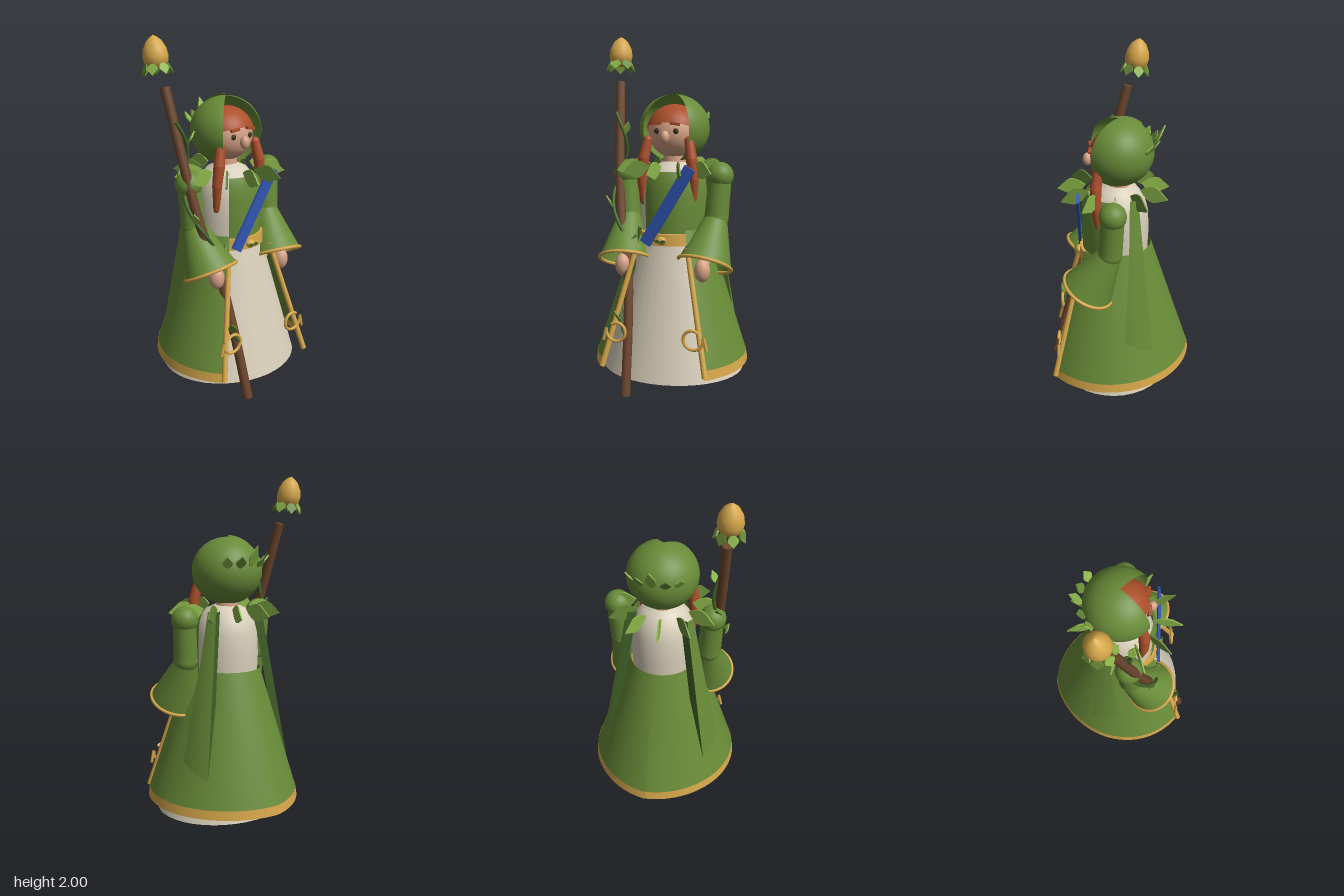
import * as THREE from 'three';
import { ParametricGeometry } from 'three/addons/geometries/ParametricGeometry.js';

const V = (x, y, z) => new THREE.Vector3(x, y, z);
const rad = THREE.MathUtils.degToRad;

export function createModel() {
  const root = new THREE.Group();
  root.name = 'cloakedWanderer';
  const material = (name, color) => {
    const m = new THREE.MeshStandardMaterial({ color, side: THREE.DoubleSide });
    m.name = name;
    return m;
  };
  const green = material('clothGreen', 0x688b38);
  const darkGreen = material('vineGreen', 0x3f5f26);
  const lightGreen = material('leafGreen', 0x8cb54a);
  const gold = material('gold', 0xd6a74a);
  const cream = material('cream', 0xd8cfba);
  const brown = material('wood', 0x6b452b);
  const skin = material('skin', 0xd6a285);
  const hair = material('copperHair', 0xab4f2a);
  const blue = material('sashBlue', 0x3056b4);
  const dark = material('eyeDark', 0x3a3022);

  const add = (name, geo, mat, x = 0, y = 0, z = 0, parent = root) => {
    const m = new THREE.Mesh(geo, mat);
    m.name = name;
    m.position.set(x, y, z);
    parent.add(m);
    return m;
  };
  const ball = (name, mat, r, x, y, z, sx = 1, sy = 1, sz = 1) => {
    const m = add(name, new THREE.SphereGeometry(r, 28, 20), mat, x, y, z);
    m.scale.set(sx, sy, sz);
    return m;
  };
  // cone between two points, r0 at a and r1 at b
  const between = (name, mat, a, b, r0, r1, open = false) => {
    const d = b.clone().sub(a);
    const m = add(name, new THREE.CylinderGeometry(r1, r0, d.length(), 28, 1, open), mat);
    m.position.copy(a).lerp(b, 0.5);
    m.quaternion.setFromUnitVectors(V(0, 1, 0), d.normalize());
    return m;
  };
  const tube = (name, mat, pts, r, segs = 32) =>
    add(name, new THREE.TubeGeometry(new THREE.CatmullRomCurve3(pts), segs, r, 10), mat);
  const lathe = (name, mat, pts, start = 0, len = Math.PI * 2) =>
    add(name, new THREE.LatheGeometry(pts.map(p => new THREE.Vector2(...p)), 40, start, len), mat);
  // surface given by angle, height and a radius rule
  const sheet = (name, mat, f, nu = 40, nv = 8) =>
    add(name, new ParametricGeometry((u, v, t) => {
      const [a, y, r] = f(u, v);
      t.set(Math.sin(a) * r, y, Math.cos(a) * r);
    }, nu, nv), mat);
  // pointed leaf growing from a point along dir, facing normal
  const leaf = (name, mat, pos, dir, normal, L, W, parent = root) => {
    const s = new THREE.Shape();
    s.moveTo(0, 0);
    s.quadraticCurveTo(W * 1.1, L * 0.35, W * 0.75, L * 0.6);
    s.lineTo(0, L);
    s.lineTo(-W * 0.75, L * 0.6);
    s.quadraticCurveTo(-W * 1.1, L * 0.35, 0, 0);
    const m = add(name, new THREE.ExtrudeGeometry(s, { depth: 0.008, bevelEnabled: false, curveSegments: 5 }), mat, 0, 0, 0, parent);
    const y = dir.clone().normalize();
    const x = y.clone().cross(normal).normalize();
    m.quaternion.setFromRotationMatrix(new THREE.Matrix4().makeBasis(x, y, x.clone().cross(y)));
    m.position.copy(pos);
    return m;
  };

  // underskirt, torso and vest
  const skirt = lathe('underskirt', cream, [[0.415, 0.095], [0.18, 0.9]]);
  skirt.scale.z = 0.875;
  skirt.position.z = 0.03;
  lathe('torso', cream, [[0.18, 0.85], [0.186, 1.0], [0.18, 1.12], [0.16, 1.2], [0.115, 1.26], [0.05, 1.29]]).position.z = 0.01;
  lathe('vest', green, [[0.195, 0.87], [0.2, 1.0], [0.199, 1.12], [0.19, 1.2], [0.172, 1.24]], rad(-34), rad(122)).position.z = 0.01;
  add('belt', new THREE.CylinderGeometry(0.195, 0.2, 0.065, 40), gold, 0, 0.865, 0.03);
  ball('beltBuckle', gold, 0.03, 0, 0.862, 0.23, 1, 0.8, 0.7);
  for (const s of [-1, 1]) leaf('buckleLeaf', darkGreen, V(0, 0.86, 0.25), V(s, 0.15, 0), V(0, 0, 1), 0.036, 0.01);
  const sash = add('sash', new THREE.BoxGeometry(0.065, 0.5, 0.016), blue, 0.032, 1.055, 0.224);
  sash.rotation.z = -0.548;

  // overskirt, open at the front, with an upright hem band
  const T = y => (0.92 - y) / 0.73;
  const edge = y => rad(33 + 5 * T(y));
  const robeR = (a, y) => 0.19 + 0.241 * T(y) + 0.05 * Math.max(0, Math.cos(a))
    - 0.022 * T(y) * Math.max(0, -Math.sin(2 * (a > Math.PI ? Math.PI * 2 - a : a)));
  const around = (u, y) => edge(y) + u * (Math.PI * 2 - 2 * edge(y));
  sheet('overskirt', green, (u, v) => {
    const y = 0.19 + v * 0.73, a = around(u, y);
    return [a, y, robeR(a, y)];
  }, 72, 8);
  sheet('hemTrim', gold, (u, v) => {
    const a = around(u, 0.19);
    return [a, 0.145 + v * 0.052, robeR(a, 0.19) + 0.008 - 0.008 * v];
  }, 72, 1);

  for (const s of [-1, 1]) {
    // gold front edge with curl
    const at = y => {
      const a = edge(y), r = robeR(a, y) + 0.004;
      return V(s * Math.sin(a) * r, y, Math.cos(a) * r);
    };
    between('frontTrim', gold, at(0.16), at(0.83), 0.016, 0.014);
    const curl = [];
    for (let i = 0; i <= 12; i++) {
      const a = -0.3 + i * 0.47, r = 0.062 - 0.0012 * i;
      curl.push(V(s * (0.222 + r * Math.cos(a)), 0.36 - r * Math.sin(a), 0.355));
    }
    tube('trimCurl', gold, [V(s * 0.3, 0.305, 0.355), ...curl], 0.009, 48);

    // side cape panel sinking into the overskirt, rear edge turned inward
    const rear = rad(122);
    const capeR = y => 0.2 + 0.18 * (1.26 - y);
    sheet('capePanel', green, (u, v) => {
      const y = 0.26 + v, k = s > 0 ? u : 1 - u;
      const a = rad(92 + 15 * v) * (1 - k) + rear * k;
      return [s * a, y, capeR(y)];
    }, 14, 12);
    sheet('capeFold', darkGreen, (u, v) => {
      const y = 0.3 + v * 0.96, k = s > 0 ? u : 1 - u;
      return [s * (rear + k * 0.03), y, capeR(y) - k * 0.05];
    }, 2, 10);

    // arms
    ball('shoulder', green, 0.076, s * 0.28, 1.215, 0.035);
    between('upperArm', green, V(s * 0.28, 1.2, 0.035), V(s * 0.265, 0.98, 0.05), 0.064, 0.068);
    ball('elbow', green, 0.069, s * 0.265, 0.98, 0.05);
    const cuff = V(s * 0.235, 0.735, 0.175);
    const sleeve = between('sleeve', green, V(s * 0.262, 0.97, 0.05), cuff, 0.066, 0.15, true);
    const rim = add('cuffTrim', new THREE.TorusGeometry(0.15, 0.01, 8, 40).rotateX(Math.PI / 2), gold);
    rim.position.copy(cuff);
    rim.quaternion.copy(sleeve.quaternion);
    between('forearm', skin, V(s * 0.25, 0.9, 0.09), V(s * 0.235, 0.73, 0.21), 0.035, 0.032);
    ball('hand', skin, 0.046, s * 0.234, 0.71, 0.222, 0.95, 1.4, 1);

    // legs and boots
    between('leg', brown, V(s * 0.11, 0.1, 0.02), V(s * 0.11, 0.5, 0.02), 0.055, 0.06);
    const boot = add('boot', new THREE.CapsuleGeometry(0.056, 0.12, 6, 18).rotateX(Math.PI / 2), brown, s * 0.115, 0.108, 0.085);
    boot.scale.set(1.1, 1, 1);

    // face details and tapering braids
    ball('eye', dark, 0.016, s * 0.055, 1.462, 0.143, 1, 1, 0.5);
    const brow = add('eyebrow', new THREE.BoxGeometry(0.055, 0.014, 0.018), hair, s * 0.053, 1.502, 0.153);
    brow.rotation.z = s * -0.12;
    const braid = [V(s * 0.122, 1.41, 0.11), V(s * 0.14, 1.31, 0.125), V(s * 0.155, 1.2, 0.125), V(s * 0.148, 1.06, 0.11)];
    const thick = [0.026, 0.032, 0.027, 0.018];
    braid.forEach((p, i) => {
      ball('braidKnot', hair, thick[i], p.x, p.y, p.z);
      if (i) between('braid', hair, braid[i - 1], p, thick[i - 1], thick[i]);
    });
  }

  // head
  ball('head', skin, 0.145, 0, 1.452, 0.01);
  ball('nose', skin, 0.026, 0, 1.43, 0.17, 1, 1.4, 1);
  add('neck', new THREE.CylinderGeometry(0.06, 0.07, 0.12, 20), skin, 0, 1.3, 0);
  const cap = add('hairCap', new THREE.SphereGeometry(0.159, 32, 16, 0, Math.PI * 2, 0, Math.PI / 2), hair, 0, 1.45, 0.003);
  cap.rotation.x = -0.38;

  // hood with a wedge opening at the front (sphere angle 90 degrees faces +z)
  const hood = add('hood', new THREE.SphereGeometry(0.2, 44, 26, rad(132), rad(276), 0, Math.PI * 0.88), green, 0, 1.474, 0);
  hood.scale.y = 0.95;
  const fold = add('hoodFold', new THREE.SphereGeometry(0.204, 14, 8, rad(242), rad(56), 0.02, 0.68), green, 0, 1.478, 0);
  fold.scale.y = 0.96;

  // crown of leaves at the back of the hood
  for (let i = -2; i <= 2; i++) {
    const a = Math.PI + i * rad(20);
    const out = V(Math.sin(a), 0, Math.cos(a));
    leaf('crownLeaf', i % 2 ? green : lightGreen, out.clone().multiplyScalar(0.188).setY(1.5),
      out.clone().multiplyScalar(i ? 0.6 : 0.45).setY(0.9), out.clone().setY(-0.4), i ? 0.08 : 0.14, 0.034);
  }

  // leaf collar
  for (let i = 0; i < 11; i++) {
    const a = rad(-8) + i * Math.PI * 2 / 11;
    const out = V(Math.sin(a), 0, Math.cos(a));
    leaf('collarLeaf', i % 3 === 1 ? green : lightGreen, out.clone().multiplyScalar(0.16).add(V(0, 1.268, 0.025)),
      out.clone().setY(-0.2), V(out.z, 0, -out.x), 0.165, 0.058);
  }

  // staff with a climbing vine
  const staff = new THREE.CatmullRomCurve3([V(-0.15, 0.01, 0.405), V(-0.173, 0.4, 0.3), V(-0.203, 0.68, 0.223),
    V(-0.268, 0.95, 0.15), V(-0.305, 1.2, 0.082), V(-0.355, 1.735, -0.062)]);
  add('staff', new THREE.TubeGeometry(staff, 40, 0.027, 10), brown);
  for (const [t, name] of [[0, 'staffFoot'], [1, 'staffTop']]) {
    const c = add(name, new THREE.CircleGeometry(0.027, 10), brown);
    c.position.copy(staff.getPoint(t));
    c.lookAt(c.position.clone().add(staff.getTangent(t).multiplyScalar(t ? 1 : -1)));
  }
  const turn = t => (t - 0.8) * 18;
  const coil = t => staff.getPointAt(t).add(V(Math.cos(turn(t)) * 0.042, 0, Math.sin(turn(t)) * 0.042));
  const coilPts = [];
  for (let i = 0; i <= 40; i++) coilPts.push(coil(0.2 + i * 0.0175));
  tube('staffVine', darkGreen, coilPts, 0.01, 120);
  for (let i = 0; i < 6; i++) {
    const t = 0.23 + i * 0.12;
    const out = V(Math.cos(turn(t)), 0, Math.sin(turn(t)));
    leaf('vineLeaf', i % 2 ? lightGreen : green, coil(t), out.clone().setY(1.8), out.clone().setY(-0.6), 0.08, 0.028);
  }

  // floating acorn above the staff
  const acorn = new THREE.Group();
  acorn.name = 'acorn';
  acorn.position.set(-0.372, 1.825, -0.105);
  acorn.quaternion.setFromUnitVectors(V(0, 1, 0), V(-0.03, 1, -0.14).normalize());
  root.add(acorn);
  const nut = [[0, 0], [0.045, 0.008], [0.063, 0.035], [0.068, 0.065], [0.062, 0.105], [0.042, 0.145], [0.018, 0.166], [0, 0.176]];
  acorn.add(lathe('acornNut', gold, nut));
  for (let i = 0; i < 7; i++) {
    const a = i * Math.PI * 2 / 7;
    const out = V(Math.sin(a), 0, Math.cos(a));
    leaf('acornLeaf', i % 2 ? green : lightGreen, out.clone().multiplyScalar(0.05).setY(0.034),
      out.clone().setY(-2.2), out.clone().setY(0.5), 0.07, 0.034, acorn);
  }
  return root;
}
